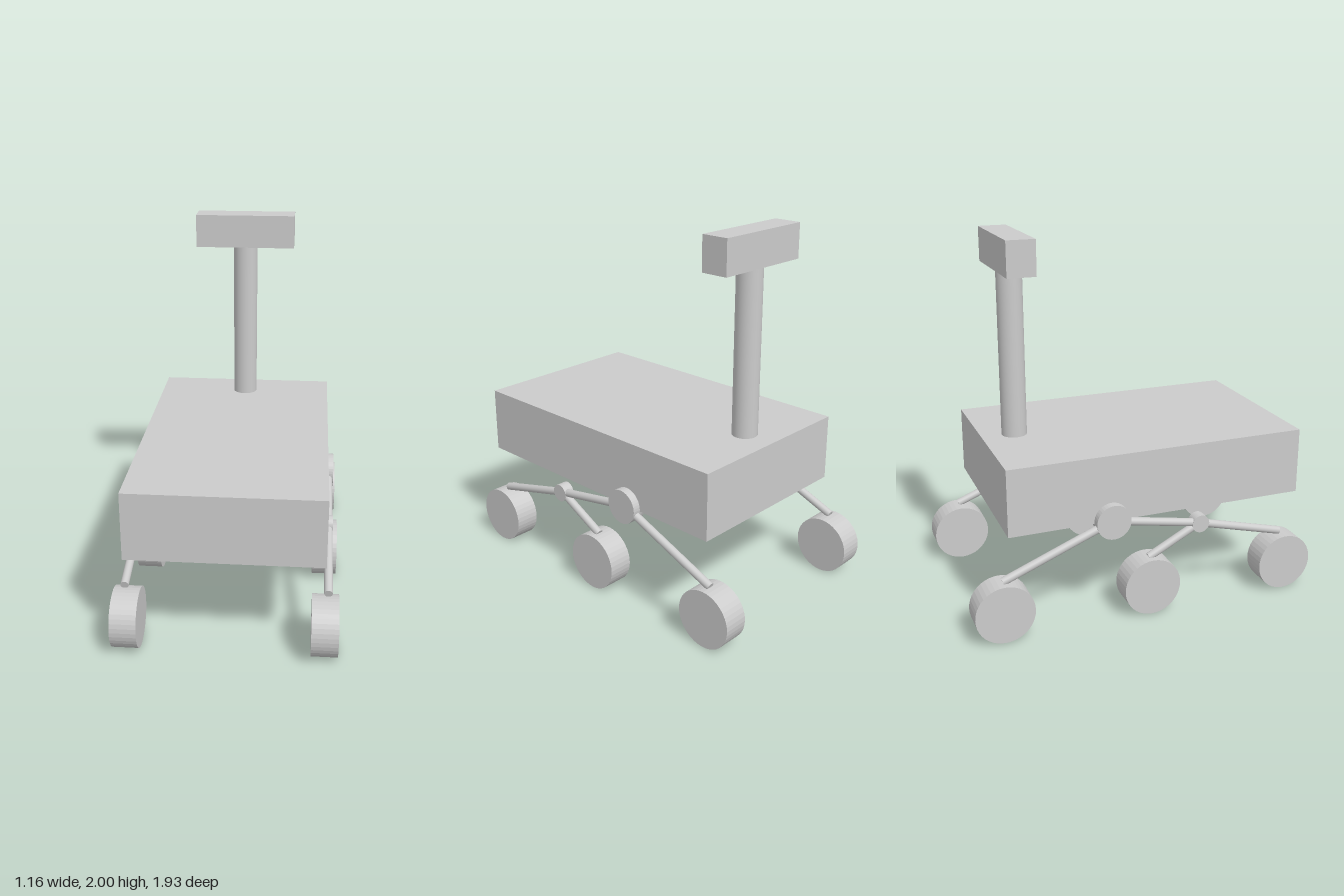
import * as THREE from 'three';

const smooth = new THREE.MeshStandardMaterial({ color: 0xcccccc });
const faceted = new THREE.MeshStandardMaterial({ color: 0xcccccc, flatShading: true });

function add(parent, name, geometry, x, y, z, material = smooth) {
  const mesh = new THREE.Mesh(geometry, material);
  mesh.name = name;
  mesh.position.set(x, y, z);
  parent.add(mesh);
  return mesh;
}

// Disc whose axle runs along x
function disc(parent, name, radius, width, x, y, z) {
  const geometry = new THREE.CylinderGeometry(radius, radius, width, 40).rotateZ(Math.PI / 2);
  return add(parent, name, geometry, x, y, z, faceted);
}

// Round rod between two [y, z] points in the plane of one side
function rod(parent, name, x, from, to, radius = 0.022) {
  const a = new THREE.Vector3(x, ...from);
  const b = new THREE.Vector3(x, ...to);
  const mid = a.clone().add(b).multiplyScalar(0.5);
  const mesh = add(parent, name, new THREE.CylinderGeometry(radius, radius, a.distanceTo(b), 20), mid.x, mid.y, mid.z);
  mesh.quaternion.setFromUnitVectors(new THREE.Vector3(0, 1, 0), b.sub(a).normalize());
}

export function createModel() {
  const model = new THREE.Group();
  model.name = 'rover';

  // Chassis, mast and camera head
  add(model, 'body', new THREE.BoxGeometry(1.01, 0.365, 1.66), 0, 0.733, 0.07);
  add(model, 'mast', new THREE.CylinderGeometry(0.069, 0.069, 0.91, 40), 0, 1.365, -0.578);
  add(model, 'cameraHead', new THREE.BoxGeometry(0.566, 0.185, 0.152), 0, 1.9075, -0.587);

  // Rocker suspension and three wheels on each side
  const rocker = [0.56, -0.205];
  const bogie = [0.467, 0.295];
  for (const [side, s] of [['left', 1], ['right', -1]]) {
    const suspension = new THREE.Group();
    suspension.name = side + 'Suspension';
    model.add(suspension);

    disc(suspension, 'rockerPivot', 0.095, 0.082, s * 0.508, ...rocker);
    disc(suspension, 'bogiePivot', 0.049, 0.06, s * 0.515, ...bogie);

    rod(suspension, 'rearArm', s * 0.522, rocker, [0.322, -0.803]);
    rod(suspension, 'rockerArm', s * 0.522, rocker, bogie);
    rod(suspension, 'frontArm', s * 0.522, bogie, [0.336, 0.79]);
    rod(suspension, 'middleArm', s * 0.522, bogie, [0.315, 0]);

    [['front', 0.807], ['middle', 0.005], ['rear', -0.805]].forEach(([place, z]) =>
      disc(suspension, place + 'Wheel', 0.158, 0.138, s * 0.509, 0.16, z));
  }
  return model;
}
